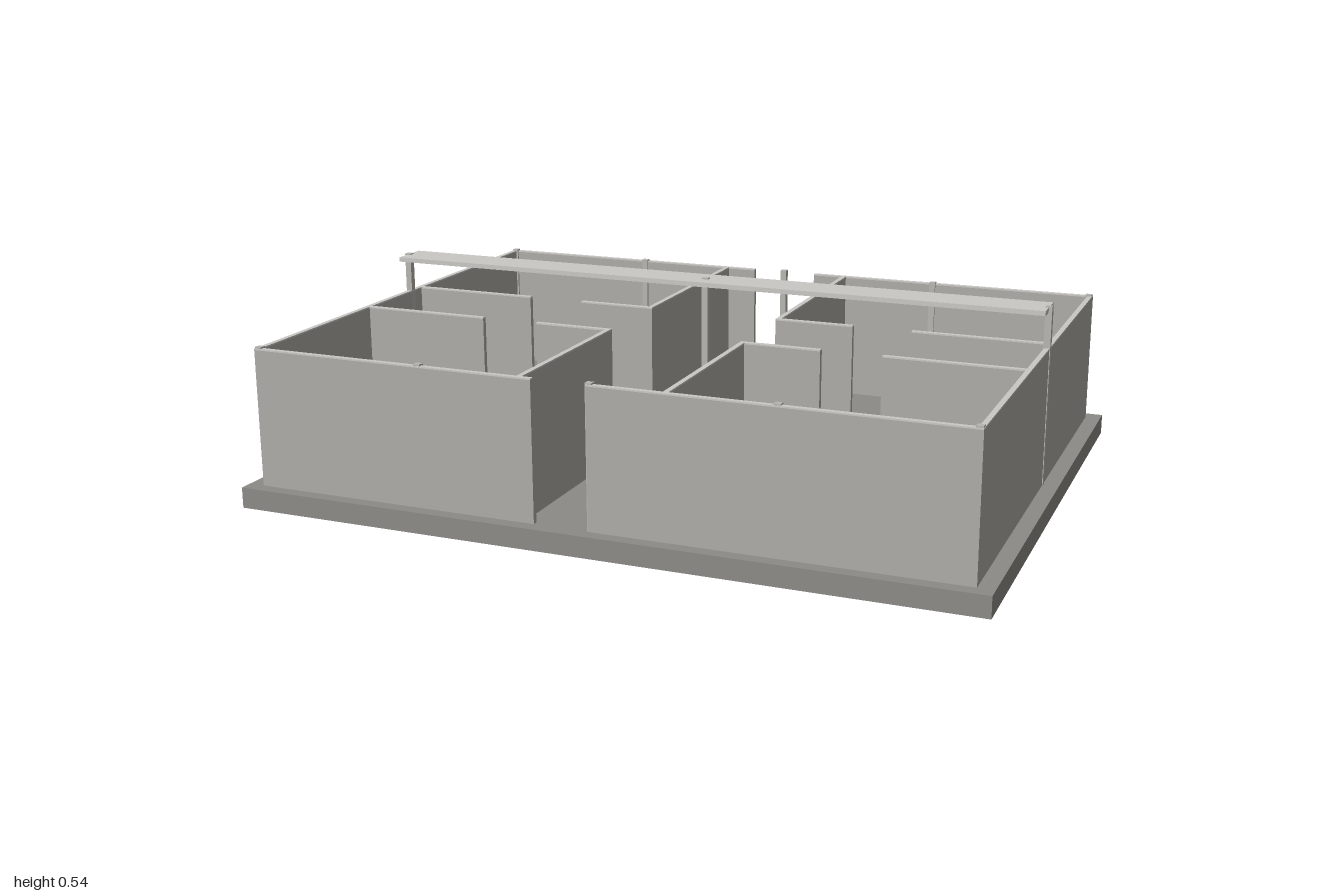
import * as THREE from 'three';

const FLOOR = 0.056, WALL_TOP = 0.43, CAP = 0.004, T = 0.014;

export function createModel() {
  const model = new THREE.Group();
  const paint = (color) => new THREE.MeshStandardMaterial({ color, flatShading: true });
  const slabPaint = paint(0x8d8b86), wallPaint = paint(0xaeaca7);
  const postPaint = paint(0xb8b6b1), topPaint = paint(0xcac9c5);

  // Box given by its extents on each axis
  function box(name, material, x0, x1, y0, y1, z0, z1) {
    const mesh = new THREE.Mesh(new THREE.BoxGeometry(x1 - x0, y1 - y0, z1 - z0), material);
    mesh.position.set((x0 + x1) / 2, (y0 + y1) / 2, (z0 + z1) / 2);
    mesh.name = name;
    model.add(mesh);
  }

  // Wall with a thin pale capping
  function wall(name, x0, x1, z0, z1) {
    box(name, wallPaint, x0, x1, FLOOR, WALL_TOP - CAP, z0, z1);
    box(name + 'Cap', topPaint, x0, x1, WALL_TOP - CAP, WALL_TOP, z0, z1);
  }
  const wallX = (name, x0, x1, z) => wall(name, x0, x1, z - T / 2, z + T / 2);
  const wallZ = (name, x, z0, z1) => wall(name, x - T / 2, x + T / 2, z0, z1);
  const post = (name, material, x, z, top, r = 0.009) =>
    box(name, material, x - r, x + r, FLOOR, top, z - r, z + r);

  // Foundation
  box('foundationSlab', slabPaint, -1, 1, 0, FLOOR, -0.761, 0.761);

  // Outer walls with the entrances left open
  wallX('frontWallRight', -0.957, -0.157, 0.718);
  wallX('frontWallLeft', -0.009, 0.957, 0.718);
  wallX('backWallRight', -0.957, -0.1, -0.716);
  wallX('backWallLeft', 0.097, 0.957, -0.716);

  for (const s of [-1, 1]) {
    wallZ('sideWall', s * 0.95, -0.709, 0.711);

    // Room walls beside the central corridor
    wallZ('frontRoomWall', s * 0.194, 0.197, 0.711);
    wallZ('backRoomWall', s * 0.194, -0.709, -0.104);

    // Corridor walls with a doorway into each room
    for (const z of [0.19, -0.097]) {
      for (const [a, b] of [[0.187, 0.41], [0.575, 0.943]]) {
        wallX('corridorWall', Math.min(s * a, s * b), Math.max(s * a, s * b), z);
      }
    }
  }

  // Columns set into the front and back walls, showing on the inside
  for (const x of [-0.947, -0.476, 0.476, 0.947]) {
    post('frontColumn', postPaint, x, 0.714, 0.434);
    post('backColumn', postPaint, x, -0.712, 0.434);
  }
  post('frontDoorColumn', postPaint, -0.003, 0.714, 0.434);
  post('backDoorColumn', postPaint, -0.003, -0.715, 0.434);

  // Ridge plank on three tall posts
  for (const x of [-0.952, -0.003, 0.95]) post('ridgePost', postPaint, x, -0.045, 0.541);
  box('ridgePlank', topPaint, -0.955, 0.95, 0.525, 0.538, -0.104, 0.006);

  return model;
}
